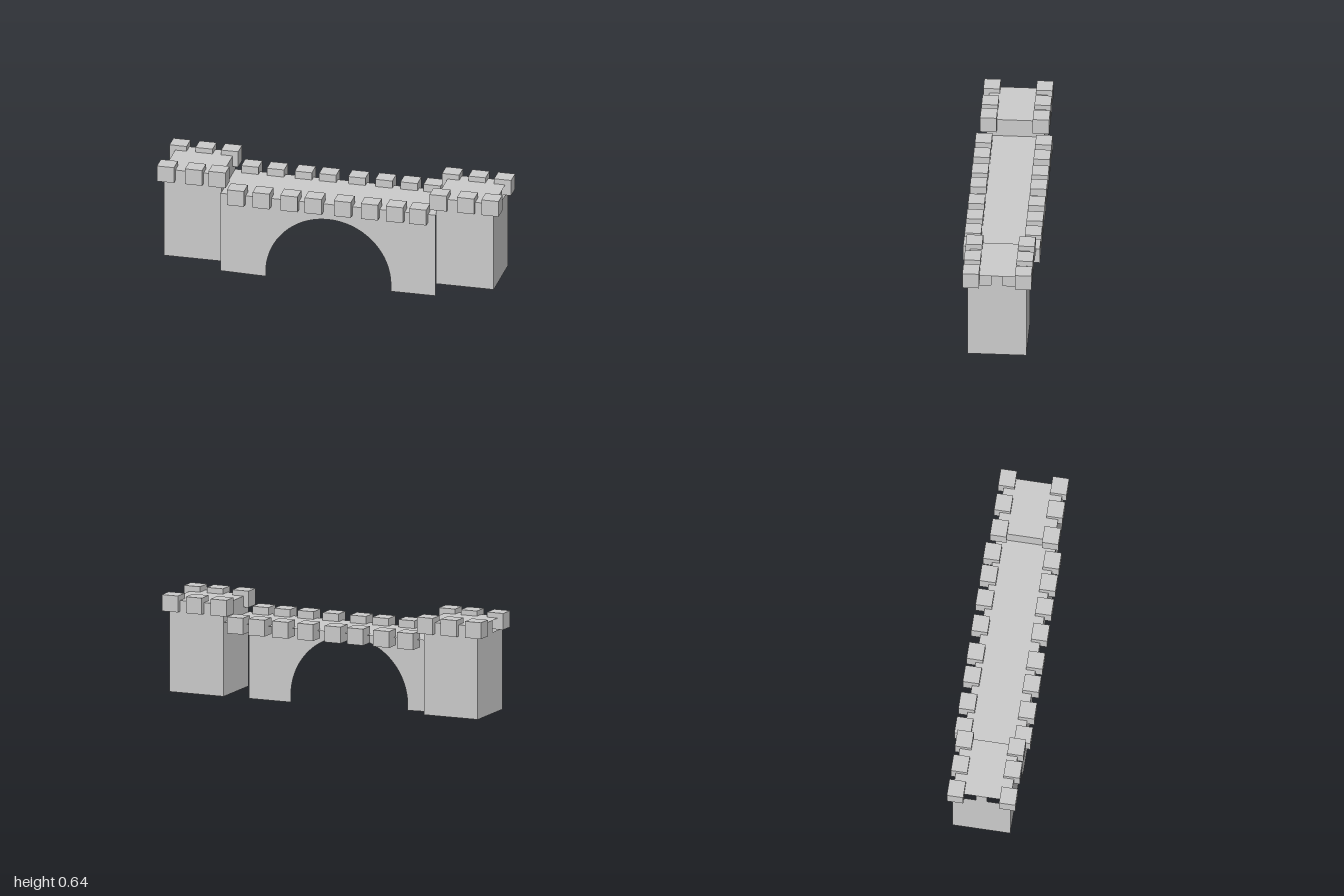
import * as THREE from 'three';

const material = new THREE.MeshStandardMaterial({ color: 0xcccccc, flatShading: true, side: THREE.DoubleSide });

function addMesh(parent, name, geometry, x = 0, y = 0, z = 0) {
  const mesh = new THREE.Mesh(geometry, material);
  mesh.name = name;
  mesh.position.set(x, y, z);
  parent.add(mesh);
  return mesh;
}

// Flat shape from corner points
function polygon(points) {
  return new THREE.ShapeGeometry(new THREE.Shape(points.map(([x, y]) => new THREE.Vector2(x, y))));
}

// Horizontal sheet facing up
function sheet(x0, x1, z0, z1) {
  return new THREE.PlaneGeometry(x1 - x0, z1 - z0).rotateX(-Math.PI / 2)
    .translate((x0 + x1) / 2, 0, (z0 + z1) / 2);
}

// Row of battlement blocks along x
function merlonRow(parent, name, centers, y, z) {
  const row = new THREE.Group();
  row.name = name;
  for (const x of centers) addMesh(row, 'merlon', new THREE.BoxGeometry(0.1, 0.095, 0.094), x, y, z);
  parent.add(row);
}

// Hollow tower, open below; its outer end wall is notched at both upper corners
function tower(name, inner, outer, z0, z1, top) {
  const group = new THREE.Group();
  group.name = name;
  const base = 0.073, sill = 0.543, tab = 0.032;
  const x0 = Math.min(inner, outer), x1 = Math.max(inner, outer);
  const side = Math.sign(outer);
  const long = [[x0, base], [x1, base], [x1, top], [x0, top]];
  addMesh(group, 'frontWall', polygon(long), 0, 0, z1);
  addMesh(group, 'backWall', polygon(long).rotateY(Math.PI).translate(x0 + x1, 0, 0), 0, 0, z0);
  addMesh(group, 'roof', sheet(x0, x1, z0, z1), 0, top, 0);

  const mid = (z0 + z1) / 2, half = (z1 - z0) / 2;
  const plain = [[-half, base], [half, base], [half, top], [-half, top]];
  const notched = [[-half, base], [half, base], [half, sill], [tab, sill],
    [tab, top], [-tab, top], [-tab, sill], [-half, sill]];
  addMesh(group, 'innerWall', polygon(plain).rotateY(-side * Math.PI / 2), inner, 0, mid);
  addMesh(group, 'outerWall', polygon(notched).rotateY(side * Math.PI / 2), outer, 0, mid);
  return group;
}

export function createModel() {
  const model = new THREE.Group();
  model.name = 'fortifiedBridge';

  // Roadway and the arched front wall
  const bridge = new THREE.Group();
  bridge.name = 'bridge';
  model.add(bridge);
  const left = -0.632, right = 0.627, deckY = 0.503;
  addMesh(bridge, 'deck', sheet(left, right, -0.168, 0.175), 0, deckY, 0);
  const wall = new THREE.Shape();
  wall.moveTo(left, 0.02);
  wall.lineTo(-0.367, 0.014);
  wall.lineTo(-0.367, 0.042);
  wall.absarc(-0.001, 0.042, 0.366, Math.PI, 0, true);
  wall.lineTo(0.365, 0);
  wall.lineTo(right, 0);
  wall.lineTo(right, deckY);
  wall.lineTo(left, deckY);
  addMesh(bridge, 'archWall', new THREE.ShapeGeometry(wall, 32), 0, 0, 0.175);

  const spans = [-0.535, -0.385, -0.222, -0.08, 0.091, 0.249, 0.396, 0.532];
  merlonRow(bridge, 'frontMerlons', spans, 0.5, 0.169);
  merlonRow(bridge, 'backMerlons', spans, 0.5, -0.174);

  // End towers
  const rightTower = tower('rightTower', -0.63, -0.967, -0.172, 0.16, 0.612);
  merlonRow(rightTower, 'frontMerlons', [-0.95, -0.785, -0.648], 0.594, 0.147);
  merlonRow(rightTower, 'backMerlons', [-0.95, -0.798, -0.648], 0.594, -0.153);
  const leftTower = tower('leftTower', 0.627, 0.965, -0.168, 0.168, 0.606);
  merlonRow(leftTower, 'frontMerlons', [0.646, 0.807, 0.95], 0.59, 0.147);
  merlonRow(leftTower, 'backMerlons', [0.646, 0.8, 0.95], 0.59, -0.152);
  model.add(rightTower, leftTower);

  return model;
}
